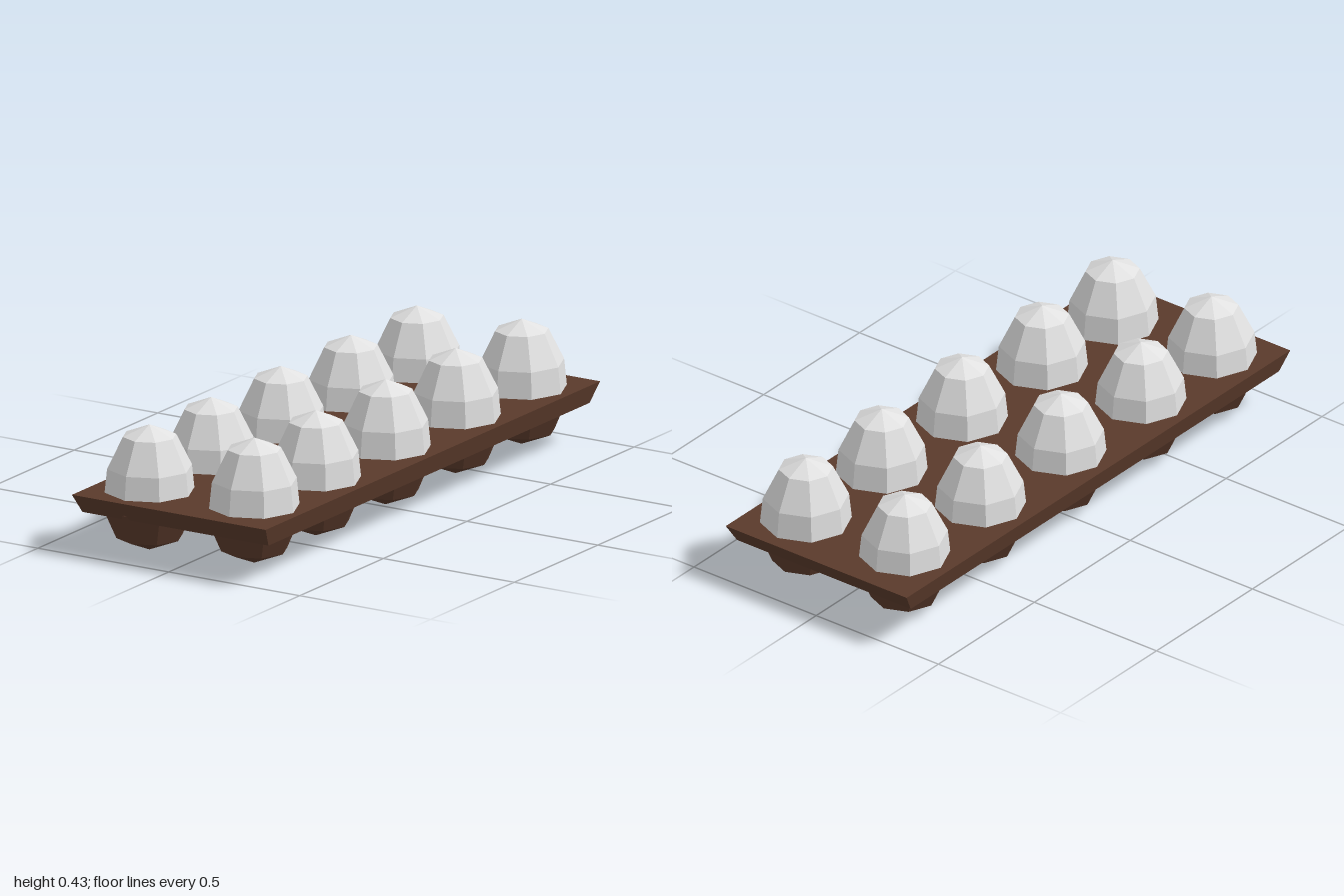
import * as THREE from 'three';

const eggShell = new THREE.MeshStandardMaterial({ color: 0xe0e0e0, flatShading: true });
eggShell.name = 'eggShell';
const brownCard = new THREE.MeshStandardMaterial({ color: 0x5a3a2b, flatShading: true });
brownCard.name = 'brownCard';

// Eight-sided turned shape from [radius, y] pairs, listed bottom to top
function turned(profile) {
  return new THREE.LatheGeometry(profile.map(([r, y]) => new THREE.Vector2(r, y)), 8);
}

function part(name, geometry, material) {
  const mesh = new THREE.Mesh(geometry, material);
  mesh.name = name;
  return mesh;
}

// Slab whose underside is slightly smaller than its top
function trayGeometry() {
  const geometry = new THREE.BoxGeometry(0.74, 0.065, 2);
  const p = geometry.attributes.position;
  for (let i = 0; i < p.count; i++) {
    if (p.getY(i) < 0) p.setXYZ(i, p.getX(i) * 0.96, p.getY(i), p.getZ(i) * 0.96);
  }
  geometry.translate(0, 0.1675, 0);
  geometry.computeVertexNormals();
  return geometry;
}

export function createModel() {
  const group = new THREE.Group();
  group.name = 'eggTray';
  group.add(part('tray', trayGeometry(), brownCard));

  const cup = turned([[0, 0], [0.109, 0.045], [0.1535, 0.1475], [0.1507, 0.175]]);
  const egg = turned([[0.1507, 0.175], [0.14, 0.278], [0.088, 0.383], [0, 0.42]]);

  // Two slightly offset rows of eggs, each seated in a cup
  const rows = [
    { name: 'right', x: -0.19, y: 0, shift: 0 },
    { name: 'left', x: 0.193, y: 0.01, shift: -0.027 },
  ];
  for (const row of rows) {
    [0.818, 0.45, 0.033, -0.386, -0.781].forEach((z, i) => {
      const seat = new THREE.Group();
      seat.name = `${row.name}Egg${i + 1}`;
      seat.add(part('cup', cup, brownCard), part('egg', egg, eggShell));
      seat.position.set(row.x, row.y, z + row.shift);
      group.add(seat);
    });
  }
  return group;
}
